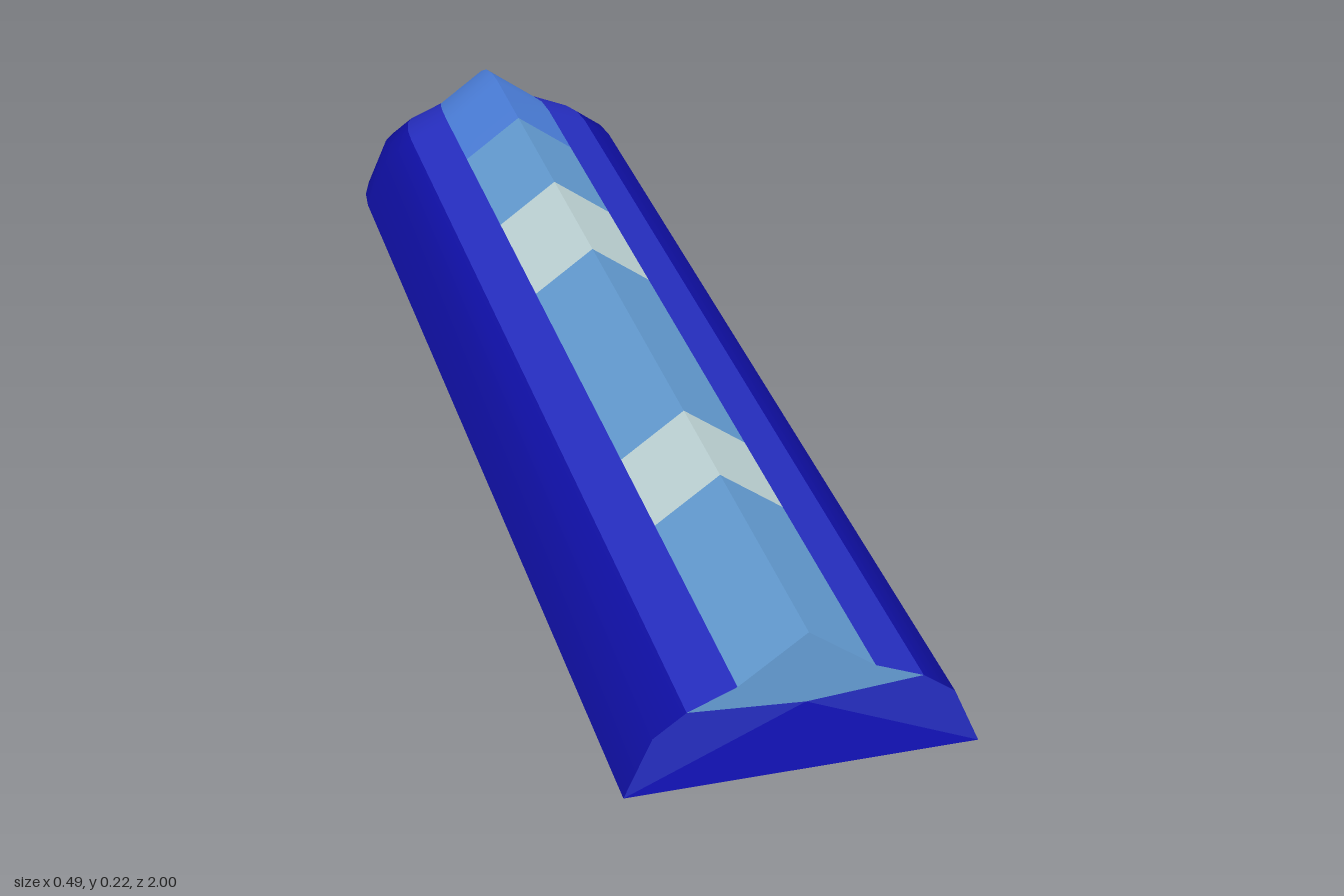
import * as THREE from 'three';

const mat = (name, color) => new THREE.MeshStandardMaterial({ name, color, side: THREE.DoubleSide });

// Half profile from the base edge up to the ridge
const BASE = [0.243, 0], FLANK = [0.205, 0.087], SHOULDER = [0.16, 0.12], EAVE = [0.093, 0.148], RIDGE = [0, 0.216];
const mirror = ([x, y]) => [-x, y];

// Start of the rounded tail and its radius along z
const TAIL = -0.76, R = 0.24;
const scaleAt = z => (z >= TAIL ? 1 : Math.sqrt(Math.max(0, 1 - ((TAIL - z) / R) ** 2)));

// Stations along the tail, closing to a point at z = -1
const tail = [];
for (let i = 0; i <= 8; i++) tail.push(i === 8 ? -1 : TAIL - R * Math.sin((i / 8) * Math.PI / 2));

// Skin a run of profile points (listed right to left, seen from the front) through z stations
function strip(points, stations) {
  const pos = [], index = [], n = points.length;
  for (const z of stations) {
    const s = scaleAt(z);
    for (const [x, y] of points) pos.push(x * s, y * s, z);
  }
  for (let j = 0; j < stations.length - 1; j++) {
    for (let i = 0; i < n - 1; i++) {
      const a = j * n + i, b = a + 1, c = a + n, d = c + 1;
      index.push(a, c, b);
      if (stations[j + 1] > -1) index.push(b, c, d);
      else index.push(b, c, d);
    }
  }
  const g = new THREE.BufferGeometry();
  g.setAttribute('position', new THREE.Float32BufferAttribute(pos, 3));
  g.setIndex(index);
  g.computeVertexNormals();
  return g;
}

export function createModel() {
  const model = new THREE.Group();
  model.name = 'roundedBar';
  const navy = mat('navy', 0x1010a8);
  const blue = mat('blue', 0x262ec2);
  const light = mat('lightBlue', 0x649dd4);
  const sky = mat('skyBlue', 0x4c80dd);
  const pale = mat('paleGrey', 0xc0d6d8);

  const add = (name, geometry, material) => {
    const m = new THREE.Mesh(geometry, material);
    m.name = name;
    model.add(m);
  };
  // Adds a strip and its mirrored twin
  const addPair = (name, points, stations, material) => {
    add(name + 'Left', strip(points, stations), material);
    add(name + 'Right', strip(points.map(mirror).reverse(), stations), material);
  };

  // Side walls and shoulders run the whole length and round the tail
  const full = [1, ...tail];
  addPair('sideWall', [BASE, FLANK, SHOULDER], full, navy);
  addPair('shoulder', [SHOULDER, EAVE], full, blue);

  // Ridge roof in coloured lengths
  const bands = [[1, 0.61, light], [0.61, 0.43, pale], [0.43, -0.09, light], [-0.09, -0.34, pale], [-0.34, -0.6, light]];
  bands.forEach(([z0, z1, m], i) => addPair('roofBand' + (i + 1), [EAVE, RIDGE], [z0, z1], m));
  addPair('roofTail', [EAVE, RIDGE], [-0.6, ...tail.slice(0, 4)], sky);
  add('roofTip', strip([EAVE, RIDGE, mirror(EAVE)], tail.slice(3)), sky);

  // Flat front cap with an open triangle at the bottom
  const cap = points => {
    const g = new THREE.ShapeGeometry(new THREE.Shape(points.map(([x, y]) => new THREE.Vector2(x, y))));
    return g.translate(0, 0, 1);
  };
  const HUB = [0, 0.108];
  add('frontGable', cap([HUB, SHOULDER, EAVE, RIDGE, mirror(EAVE), mirror(SHOULDER)]), light);
  add('frontCheekLeft', cap([HUB, BASE, FLANK, SHOULDER]), blue);
  add('frontCheekRight', cap([HUB, mirror(SHOULDER), mirror(FLANK), mirror(BASE)]), blue);

  // Flat underside following the rounded outline
  add('underside', strip([mirror(BASE), BASE], full), navy);
  return model;
}
